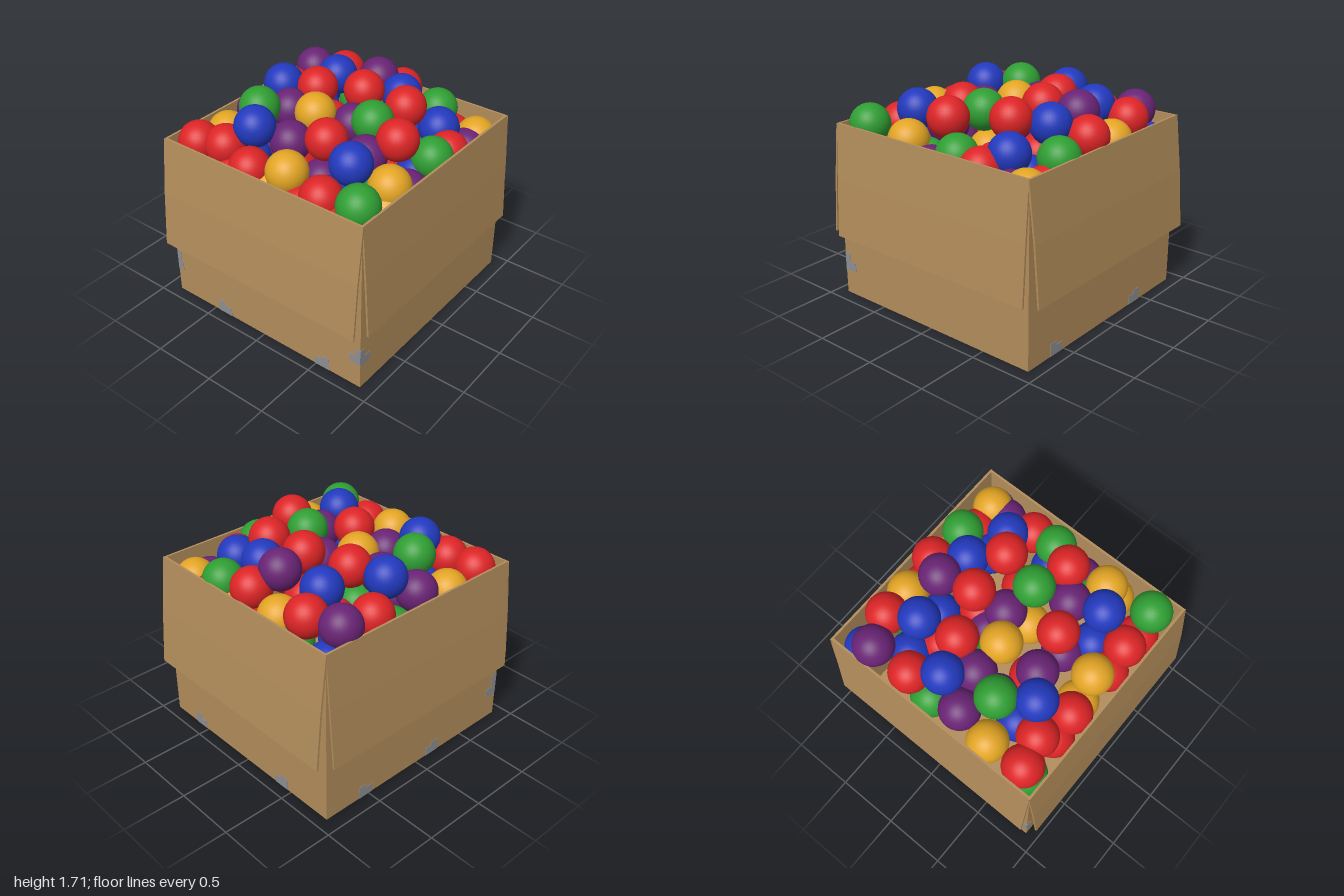
import * as THREE from 'three';

const paint = (name, color) => {
  const m = new THREE.MeshStandardMaterial({ color });
  m.name = name;
  return m;
};

export function createModel() {
  const model = new THREE.Group();
  model.name = 'boxOfBalls';
  const card = paint('cardboard', 0xb38d5b);
  const tape = paint('grey tape', 0x8c8f94);
  const colours = {
    R: paint('red', 0xdc2426), G: paint('green', 0x2f9e33), B: paint('blue', 0x2239bd),
    Y: paint('yellow', 0xe2a424), P: paint('purple', 0x692374),
  };
  const X0 = -0.883, X1 = 0.897, Z = 0.908, H = 1.387, T = 0.018;
  const CX = (X0 + X1) / 2, W = X1 - X0;

  const box = (name, mat, x0, x1, y0, y1, z0, z1, parent = model) => {
    const mesh = new THREE.Mesh(new THREE.BoxGeometry(x1 - x0, y1 - y0, z1 - z0), mat);
    mesh.position.set((x0 + x1) / 2, (y0 + y1) / 2, (z0 + z1) / 2);
    mesh.name = name;
    parent.add(mesh);
  };

  // Open carton
  box('floor', card, X0, X1, 0, T, -Z, Z);
  box('frontWall', card, X0, X1, T, H, Z - T, Z);
  box('backWall', card, X0, X1, T, H, -Z, T - Z);
  box('leftWall', card, X1 - T, X1, T, H, T - Z, Z - T);
  box('rightWall', card, X0, X0 + T, T, H, T - Z, Z - T);

  // Lid flaps folded outwards, each with a soft bend halfway down
  const flap = (name, width, mid, out, x, z, angle) => {
    const s = new THREE.Shape([[0, H], [mid, 0.95], [out, 0.5], [out - 0.015, 0.5],
      [mid - 0.015, 0.95], [-0.01, H - 0.02]].map(([a, b]) => new THREE.Vector2(a, b)));
    const g = new THREE.ExtrudeGeometry(s, { depth: width, bevelEnabled: false });
    g.translate(0, 0, -width / 2);
    const mesh = new THREE.Mesh(g, card);
    mesh.name = name;
    mesh.position.set(x, 0, z);
    mesh.rotation.y = angle;
    model.add(mesh);
  };
  flap('leftFlap', 2 * Z - 0.01, 0.033, 0.061, X1, 0, 0);
  flap('rightFlap', 2 * Z - 0.01, 0.038, 0.074, X0, 0, Math.PI);
  flap('frontFlap', W + 0.01, 0.053, 0.092, CX, Z, -Math.PI / 2);
  flap('backFlap', W + 0.01, 0.053, 0.092, CX, -Z, Math.PI / 2);

  // Stepped tape scraps wrapping the bottom edges
  const e = 0.003;
  const bottomTape = (name, x, z, angle, flip) => {
    const g = new THREE.Group();
    g.name = name;
    g.position.set(x, 0, z);
    g.rotation.y = angle;
    box('lowStrip', tape, -0.065, 0.065, 0, 0.07, -e, e, g);
    box('highStrip', tape, flip > 0 ? 0 : -0.065, flip > 0 ? 0.065 : 0, 0.07, 0.1, -e, e, g);
    box('underStrip', tape, -0.065, 0.065, 0, 0.003, -0.06, 0, g);
    model.add(g);
  };
  bottomTape('frontTapeA', -0.395, Z, 0, -1);
  bottomTape('frontTapeB', 0.555, Z, 0, 1);
  bottomTape('backTapeA', -0.395, -Z, Math.PI, 1);
  bottomTape('backTapeB', 0.585, -Z, Math.PI, -1);
  bottomTape('rightTapeA', X0, -0.53, -Math.PI / 2, -1);
  bottomTape('rightTapeB', X0, 0.17, -Math.PI / 2, 1);

  // Tape scraps folded round the front corners
  for (const [s, x, top] of [[1, X1, 0.34], [-1, X0, 0.39]]) {
    const name = s > 0 ? 'leftCornerTape' : 'rightCornerTape';
    const strip = (len, y0, y1) => {
      const inner = x - s * len;
      box(name, tape, Math.min(x, inner), Math.max(x, inner), y0, y1, Z - e, Z + e);
    };
    strip(s > 0 ? 0.09 : 0.055, 0.21, 0.28);
    strip(0.04, 0.28, top);
    box(name, tape, x - e, x + e, 0.2, 0.27, Z - 0.11, Z);
    box(name, tape, x - e, x + e, 0.27, top, Z - 0.05, Z);
  }

  // Balls by colour: [x, y, z] of each centre
  const balls = {
    R: [[-0.72, 1.34, 0.72], [-0.5, 1.365, 0.67], [-0.21, 1.315, 0.74], [0.42, 1.32, 0.73],
      [0.15, 1.485, 0.33], [0.58, 1.52, 0.08], [0, 1.56, -0.31], [0.37, 1.54, -0.32],
      [-0.34, 1.535, -0.18], [-0.71, 1.36, -0.32], [-0.49, 1.42, -0.72], [0.05, 1.42, -0.75],
      [0.73, 1.28, -0.35]],
    G: [[0.73, 1.38, 0.73], [-0.5, 1.515, 0.3], [0.3, 1.53, -0.01], [0.73, 1.33, -0.14],
      [0.38, 1.35, -0.75]],
    B: [[-0.34, 1.51, 0.53], [0.48, 1.485, 0.48], [-0.6, 1.52, -0.09], [-0.39, 1.5, -0.49],
      [0.19, 1.5, -0.53], [0.57, 1.37, -0.47]],
    Y: [[0.09, 1.375, 0.69], [-0.16, 1.48, 0.07], [0.71, 1.33, 0.35], [-0.73, 1.28, 0.41],
      [-0.24, 1.32, -0.75], [0.73, 1.22, -0.75]],
    P: [[-0.73, 1.415, -0.63], [-0.06, 1.545, -0.58], [0.07, 1.4, -0.08], [-0.42, 1.42, 0.05],
      [-0.69, 1.36, 0.13], [0.42, 1.4, 0.23], [-0.14, 1.39, 0.38]],
  };
  // Lower layer filling the gaps: [x, z]
  const lower = {
    R: [[-0.39, 0.73], [0.24, 0.73], [0.6, 0.73], [-0.14, 0.32], [0.37, -0.17], [-0.35, -0.34],
      [0.02, -0.29], [-0.08, -0.75], [0.52, -0.74]],
    G: [[-0.72, 0.75], [-0.71, -0.13], [-0.3, -0.08], [-0.38, -0.75], [0.6, 0.26]],
    B: [[-0.46, 0.46], [0.35, 0.51], [0.63, -0.1], [-0.55, -0.47], [-0.18, -0.5], [0.43, -0.52],
      [-0.73, -0.75], [0.75, -0.75]],
    Y: [[-0.07, 0.7], [0.17, 0.06], [0.73, 0.41], [0.22, -0.75]],
    P: [[0.71, 0.13], [0.73, -0.62], [-0.4, 0.23], [0.15, 0.38], [-0.05, -0.15]],
  };
  const sphere = new THREE.SphereGeometry(0.154, 32, 20);
  for (const key of Object.keys(colours)) {
    const all = [...balls[key], ...lower[key].map(([x, z]) => [x, 1.18, z])];
    for (const p of all) {
      const ball = new THREE.Mesh(sphere, colours[key]);
      ball.name = colours[key].name + 'Ball';
      ball.position.set(...p);
      model.add(ball);
    }
  }
  return model;
}
